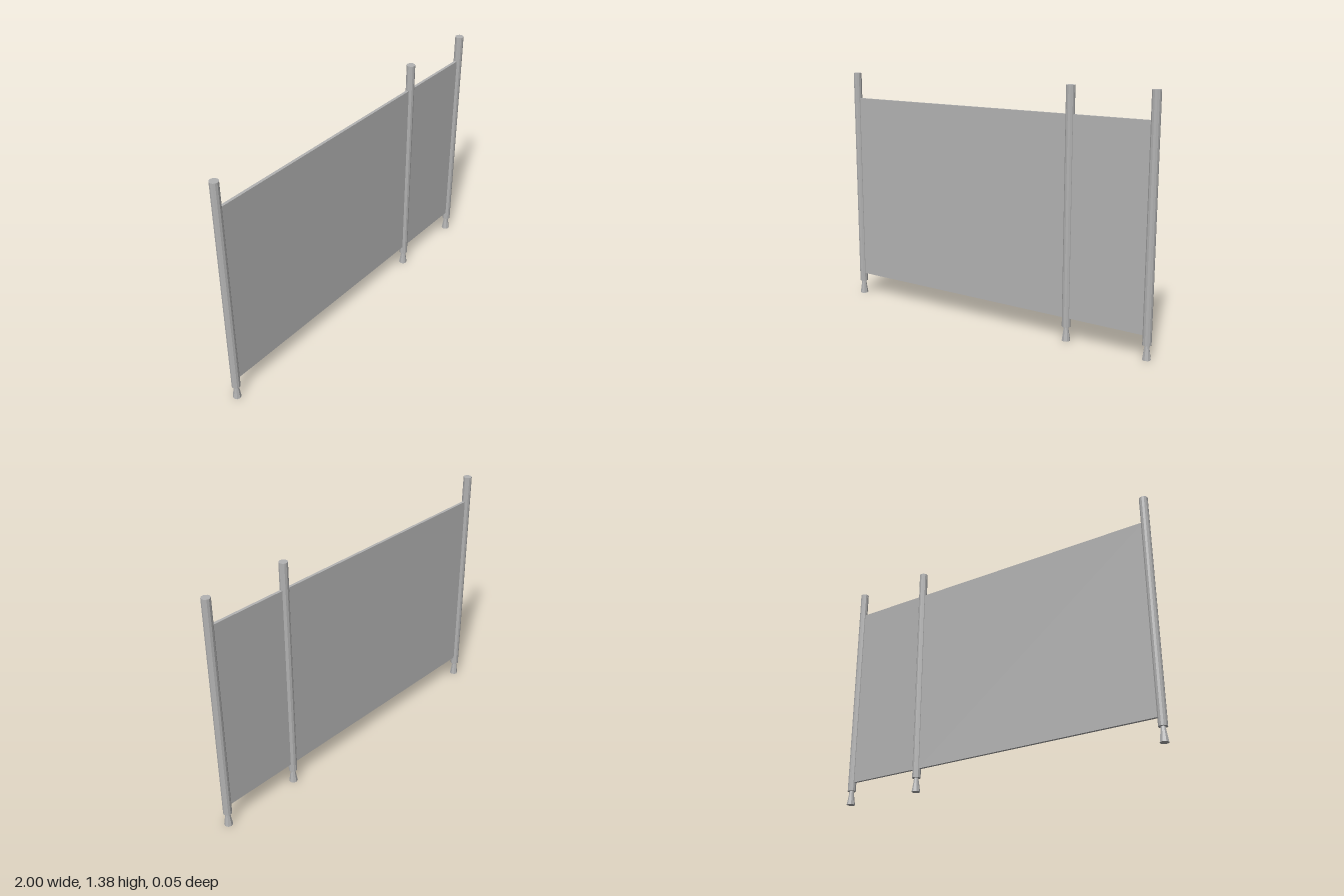
import * as THREE from 'three';

export function createModel() {
  const group = new THREE.Group();
  const grey = new THREE.MeshStandardMaterial({ color: 0xb2b2b2, flatShading: true });
  grey.name = 'grey metal';

  const add = (name, geometry, x, y) => {
    const mesh = new THREE.Mesh(geometry, grey);
    mesh.name = name;
    mesh.position.set(x, y, 0);
    group.add(mesh);
  };

  const postX = [-0.976, 0.5, 0.976];
  const radius = 0.024;
  const footHeight = 0.08;
  const postHeight = 1.3;
  const postGeometry = new THREE.CylinderGeometry(radius, radius, postHeight, 12);
  const footGeometry = new THREE.CylinderGeometry(0.012, radius, footHeight, 8);

  // Upright posts on flared feet
  for (const x of postX) {
    add('post', postGeometry, x, footHeight + postHeight / 2);
    add('foot', footGeometry, x, footHeight / 2);
  }

  // Thin panels spanning the gaps between neighbouring posts
  for (let i = 0; i < postX.length - 1; i++) {
    const width = postX[i + 1] - postX[i] - radius;
    add('panel', new THREE.BoxGeometry(width, 1.1, 0.016), (postX[i] + postX[i + 1]) / 2, 0.68);
  }

  return group;
}
